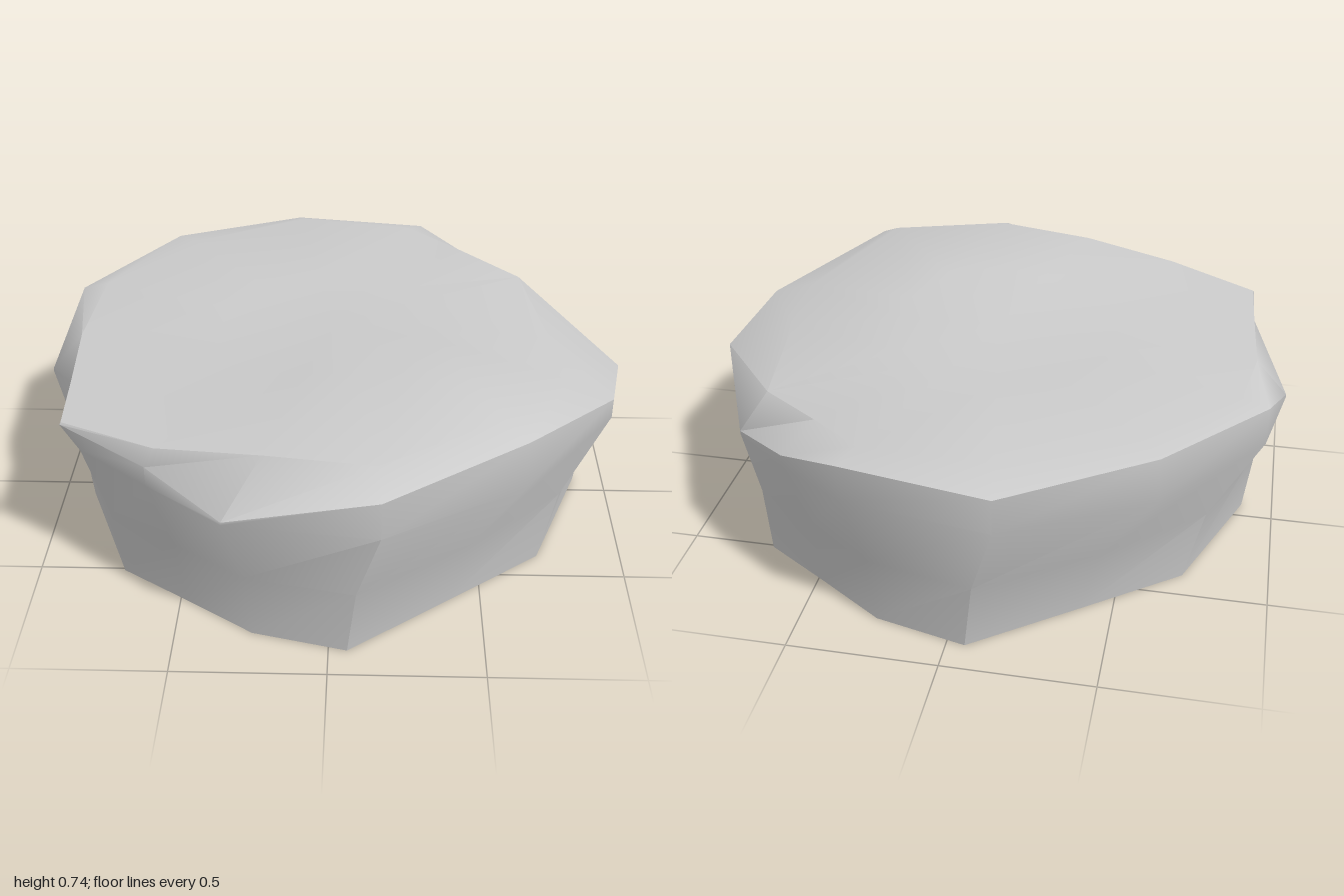
import * as THREE from 'three';
import { toCreasedNormals } from 'three/addons/utils/BufferGeometryUtils.js';

// Half of the foot outline [x, z]; the other half is its half-turn
const FOOT_HALF = [[0.06, 0.89], [0.39, 0.64], [0.71, 0.395], [0.89, -0.07], [0.71, -0.51], [0.48, -0.66], [0.25, -0.815]];

// Chipped outer rim [x, y, z], going round from the front towards +x
const RIM = [
  [0.16, 0.65, 0.98], [0.61, 0.69, 0.71], [0.93, 0.59, 0.3], [1, 0.525, -0.03], [0.76, 0.51, -0.57],
  [0.55, 0.56, -0.76], [0.32, 0.645, -0.91], [-0.17, 0.64, -0.99], [-0.63, 0.675, -0.73], [-0.94, 0.65, -0.33],
  [-1, 0.51, 0.02], [-0.88, 0.5, 0.31], [-0.86, 0.63, 0.56], [-0.57, 0.59, 0.73], [-0.32, 0.52, 0.91],
];

// Inner edge of the bevel
const BEVEL = [
  [0.15, 0.7, 0.86], [0.54, 0.735, 0.65], [0.78, 0.645, 0.27], [0.75, 0.63, -0.03], [0.68, 0.63, -0.5],
  [0.46, 0.655, -0.68], [0.28, 0.67, -0.83], [-0.15, 0.69, -0.87], [-0.56, 0.69, -0.65], [-0.85, 0.675, -0.32],
  [-0.89, 0.64, 0], [-0.87, 0.636, 0.31], [-0.856, 0.637, 0.556], [-0.54, 0.655, 0.72], [-0.2, 0.69, 0.8],
];

// Column of the corner that overhangs beside the notch
const OVERHANG = 12;

function footOutline() {
  const outline = [...FOOT_HALF, ...FOOT_HALF.map(([x, z]) => [-x, -z])];
  // extra point halfway along the notched side
  const [a, b] = [outline[10], outline[11]];
  outline.splice(11, 0, [(a[0] + b[0]) / 2, (a[1] + b[1]) / 2]);
  return outline;
}

// Skin a stack of rings, closed by a point below and a point above
function skin(rings, bottom, top) {
  const out = [];
  const n = rings[0].length;
  const tri = (...pts) => pts.forEach((p) => out.push(...p));
  for (let j = 0; j < n; j++) {
    const k = (j + 1) % n;
    tri(bottom, rings[0][k], rings[0][j]);
    for (let i = 0; i < rings.length - 1; i++) {
      const lo = rings[i], hi = rings[i + 1];
      tri(lo[j], lo[k], hi[k]);
      tri(lo[j], hi[k], hi[j]);
    }
    const last = rings[rings.length - 1];
    tri(last[j], last[k], top);
  }
  const geometry = new THREE.BufferGeometry();
  geometry.setAttribute('position', new THREE.Float32BufferAttribute(out, 3));
  return toCreasedNormals(geometry, 0.75);
}

export function createModel() {
  const group = new THREE.Group();
  group.name = 'rock';

  // wall ring at height y, a share t of the way out from the foot to the rim
  const foot = footOutline();
  const wallRing = (y, t) => foot.map(([x, z], i) => {
    const s = i === OVERHANG ? t * 0.65 : t;
    return [x + (RIM[i][0] - x) * s, Math.min(y, RIM[i][1] - 0.01), z + (RIM[i][2] - z) * s];
  });
  // low swelling on the front of the top
  const crown = BEVEL.map(([x, , z]) => {
    const px = x * 0.45, pz = z * 0.45;
    return [px, 0.672 + 0.063 * Math.exp(-((px - 0.15) ** 2 + (pz - 0.34) ** 2) / 0.13), pz];
  });

  const body = new THREE.Mesh(
    skin([wallRing(0, 0), wallRing(0.25, 0.27), wallRing(0.52, 1), RIM, BEVEL, crown], [0, 0, 0], [0, 0.69, 0]),
    new THREE.MeshStandardMaterial({ color: 0xcccccc }),
  );
  body.name = 'rockBody';
  group.add(body);
  return group;
}
